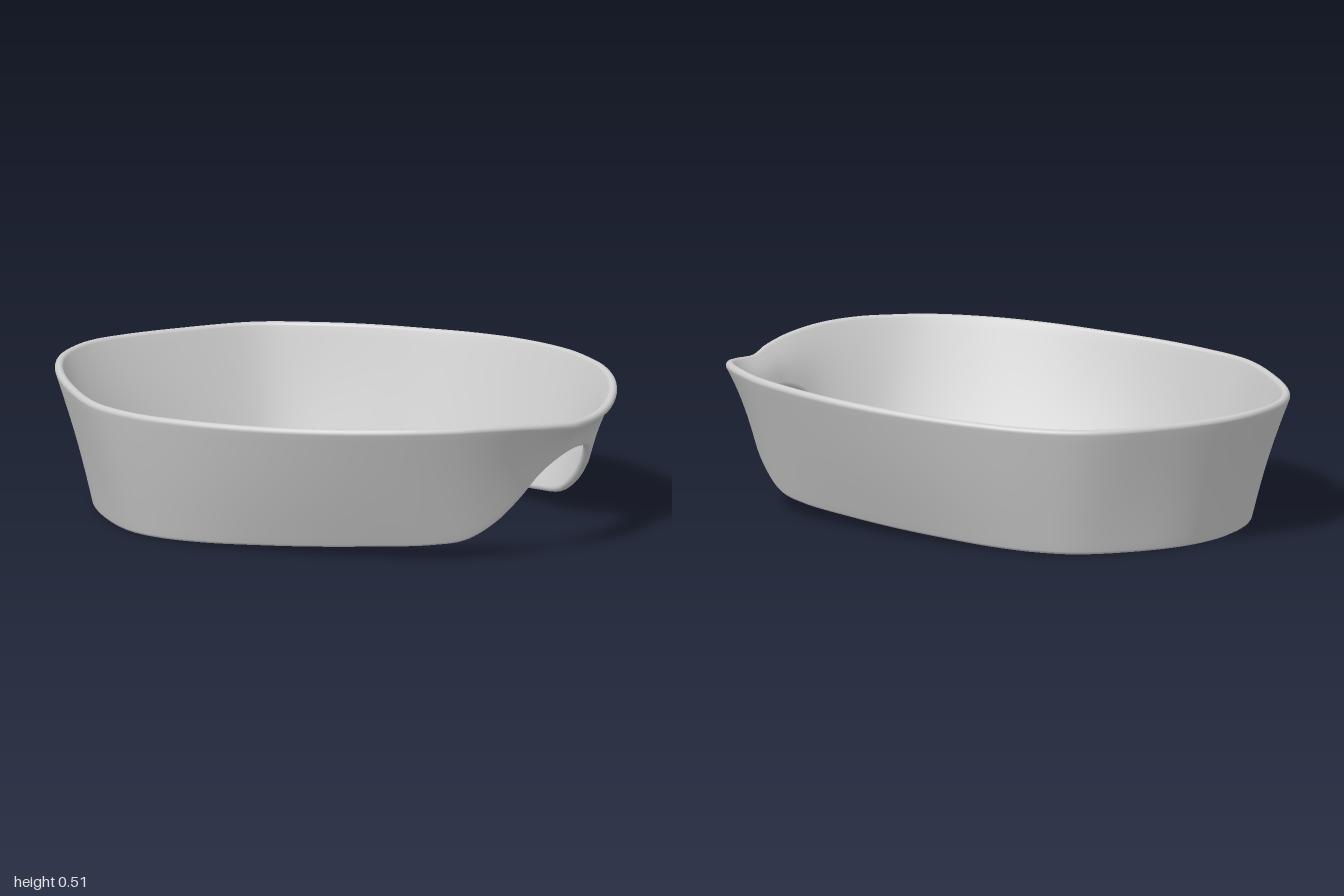
import * as THREE from 'three';

// Stations of the half band (z >= 0): top rim x, y, z, then bottom rim x, y, z
const STATIONS = [
  [-1.003, 0.463, 0, -0.835, -0.004, 0],
  [-0.987, 0.463, 0.12, -0.825, -0.004, 0.12],
  [-0.93, 0.46, 0.25, -0.775, -0.004, 0.26],
  [-0.8, 0.457, 0.43, -0.655, -0.004, 0.415],
  [-0.6, 0.457, 0.625, -0.5, -0.003, 0.54],
  [-0.4, 0.46, 0.705, -0.36, 0, 0.585],
  [-0.2, 0.467, 0.738, -0.18, 0.006, 0.594],
  [0, 0.474, 0.745, 0, 0.014, 0.575],
  [0.2, 0.483, 0.735, 0.2, 0.024, 0.542],
  [0.4, 0.492, 0.698, 0.4, 0.036, 0.493],
  [0.6, 0.499, 0.625, 0.59, 0.047, 0.425],
  [0.72, 0.5, 0.555, 0.7, 0.066, 0.37],
  [0.82, 0.5, 0.473, 0.785, 0.125, 0.312],
  [0.91, 0.492, 0.365, 0.85, 0.205, 0.255],
  [0.972, 0.474, 0.245, 0.89, 0.278, 0.19],
  [1.001, 0.452, 0.12, 0.911, 0.314, 0.1],
  [0.995, 0.44, 0, 0.915, 0.324, 0],
];
const HALF = 0.015; // half the wall thickness
const AROUND = 256, WALL = 16, CAP = 8;

// Closed smooth rim curve from one set of columns, mirrored across z = 0
function rimCurve(offset) {
  const side = STATIONS.map((s) => new THREE.Vector3(s[offset], s[offset + 1], s[offset + 2]));
  const mirrored = side.slice(1, -1).reverse().map((p) => new THREE.Vector3(p.x, p.y, -p.z));
  return new THREE.CatmullRomCurve3([...side, ...mirrored], true, 'centripetal');
}

// Wall section as [height 0..1 from the top, along-wall shift, outward shift]
function wallSection() {
  const section = [];
  for (let j = 0; j <= WALL; j++) section.push([j / WALL, 0, HALF]);
  for (let j = 1; j < CAP; j++) {
    const a = (Math.PI * j) / CAP;
    section.push([1, -HALF * Math.sin(a), HALF * Math.cos(a)]);
  }
  for (let j = 0; j <= WALL; j++) section.push([1 - j / WALL, 0, -HALF]);
  for (let j = 1; j < CAP; j++) {
    const a = (Math.PI * j) / CAP;
    section.push([0, HALF * Math.sin(a), -HALF * Math.cos(a)]);
  }
  return section;
}

function bandGeometry() {
  const top = rimCurve(0), bottom = rimCurve(3), section = wallSection();
  const n = section.length, positions = [], indices = [];
  const mid = (u) => {
    const w = (u + 1) % 1;
    return top.getPoint(w).add(bottom.getPoint(w)).multiplyScalar(0.5);
  };
  for (let i = 0; i < AROUND; i++) {
    const u = i / AROUND;
    const t = top.getPoint(u), b = bottom.getPoint(u);
    const up = t.clone().sub(b).normalize();
    const along = mid(u + 0.008).sub(mid(u - 0.008));
    const out = along.cross(up).normalize();
    // Centre line of the wall, inset so the rounded edges end at the rims
    const c0 = t.clone().addScaledVector(out, -HALF).addScaledVector(up, -HALF);
    const c1 = b.clone().addScaledVector(out, -HALF).addScaledVector(up, HALF);
    // The wall swells a little along the sides and dips at both ends
    const swell = 0.006 - 0.015 * t.x * t.x;
    for (const [s, shift, outward] of section) {
      const bow = swell * Math.sin(Math.PI * s);
      const p = c0.clone().lerp(c1, s).addScaledVector(up, shift).addScaledVector(out, outward + bow);
      positions.push(p.x, p.y, p.z);
    }
    const next = (i + 1) % AROUND;
    for (let j = 0; j < n; j++) {
      const k = (j + 1) % n;
      const a = i * n + j, d = i * n + k, e = next * n + j, f = next * n + k;
      indices.push(a, d, e, d, f, e);
    }
  }
  const geometry = new THREE.BufferGeometry();
  geometry.setAttribute('position', new THREE.Float32BufferAttribute(positions, 3));
  geometry.setIndex(indices);
  geometry.computeVertexNormals();
  return geometry;
}

export function createModel() {
  const group = new THREE.Group();
  group.name = 'flaredBand';
  // Flared ring wall with an arched notch at the +x end
  const band = new THREE.Mesh(bandGeometry(), new THREE.MeshStandardMaterial({ color: 0xcccccc }));
  band.name = 'band';
  group.add(band);
  return group;
}
